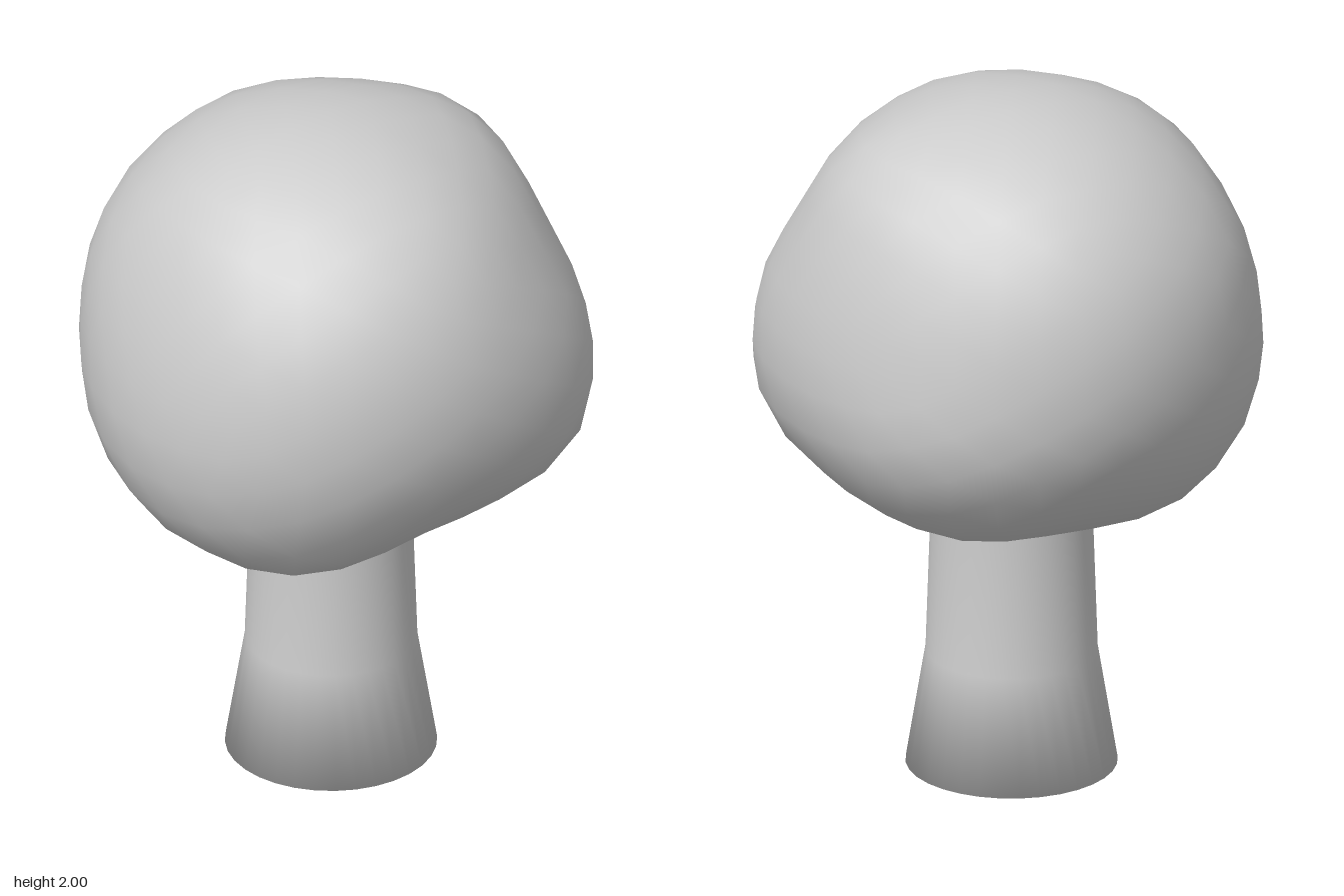
import * as THREE from 'three';
import { mergeVertices } from 'three/addons/utils/BufferGeometryUtils.js';

const CENTRE_Y = 1.36;

// Crown radius along eight meridians (+x, turning towards +z), from the top pole to the bottom pole.
const MERIDIANS = [
  [0.64, 0.655, 0.69, 0.66, 0.672, 0.71, 0.693, 0.652, 0.62],
  [0.64, 0.645, 0.66, 0.66, 0.725, 0.77, 0.71, 0.66, 0.62],
  [0.64, 0.654, 0.68, 0.69, 0.70, 0.703, 0.673, 0.65, 0.62],
  [0.64, 0.65, 0.665, 0.685, 0.705, 0.737, 0.755, 0.69, 0.62],
  [0.64, 0.655, 0.672, 0.66, 0.68, 0.735, 0.75, 0.69, 0.62],
  [0.64, 0.65, 0.67, 0.69, 0.695, 0.715, 0.72, 0.67, 0.62],
  [0.64, 0.654, 0.678, 0.69, 0.69, 0.69, 0.667, 0.648, 0.62],
  [0.64, 0.65, 0.66, 0.645, 0.657, 0.71, 0.70, 0.66, 0.62],
];

function cubic(a, b, c, d, t) {
  return b + 0.5 * t * (c - a + t * (2 * a - 5 * b + 4 * c - d + t * (3 * (b - c) + d - a)));
}

function alongMeridian(row, theta) {
  const f = (theta / Math.PI) * 8;
  const i = Math.min(7, Math.floor(f));
  const at = (k) => row[Math.max(0, Math.min(8, k))];
  return cubic(at(i - 1), at(i), at(i + 1), at(i + 2), f - i);
}

function crownRadius(theta, phi) {
  const f = ((phi / (2 * Math.PI) + 1) % 1) * 8;
  const i = Math.floor(f);
  const at = (k) => alongMeridian(MERIDIANS[(k + 8) % 8], theta);
  return cubic(at(i - 1), at(i), at(i + 1), at(i + 2), f - i);
}

// Welded, smooth sphere pushed out to the uneven crown shape
function crownGeometry() {
  let geometry = new THREE.IcosahedronGeometry(1, 5);
  geometry.deleteAttribute('uv');
  geometry.deleteAttribute('normal');
  geometry = mergeVertices(geometry, 1e-4);
  const pos = geometry.attributes.position;
  const v = new THREE.Vector3();
  for (let i = 0; i < pos.count; i++) {
    v.fromBufferAttribute(pos, i).normalize();
    const theta = Math.acos(THREE.MathUtils.clamp(v.y, -1, 1));
    v.multiplyScalar(crownRadius(theta, Math.atan2(v.z, v.x)));
    pos.setXYZ(i, v.x, v.y + CENTRE_Y, v.z);
  }
  geometry.computeVertexNormals();
  return geometry;
}

export function createModel() {
  const group = new THREE.Group();
  group.name = 'tree';
  const material = new THREE.MeshStandardMaterial({ color: 0xcccccc });

  const crown = new THREE.Mesh(crownGeometry(), material);
  crown.name = 'crown';
  group.add(crown);

  // Trunk with a flared foot, running up into the crown
  const profile = [[0, 0], [0.295, 0], [0.24, 0.335], [0.226, 0.75], [0.22, 0.95], [0, 0.95]];
  const trunk = new THREE.Mesh(
    new THREE.LatheGeometry(profile.map(([r, y]) => new THREE.Vector2(r, y)), 32),
    material
  );
  trunk.name = 'trunk';
  trunk.position.x = 0.006;
  group.add(trunk);

  return group;
}
